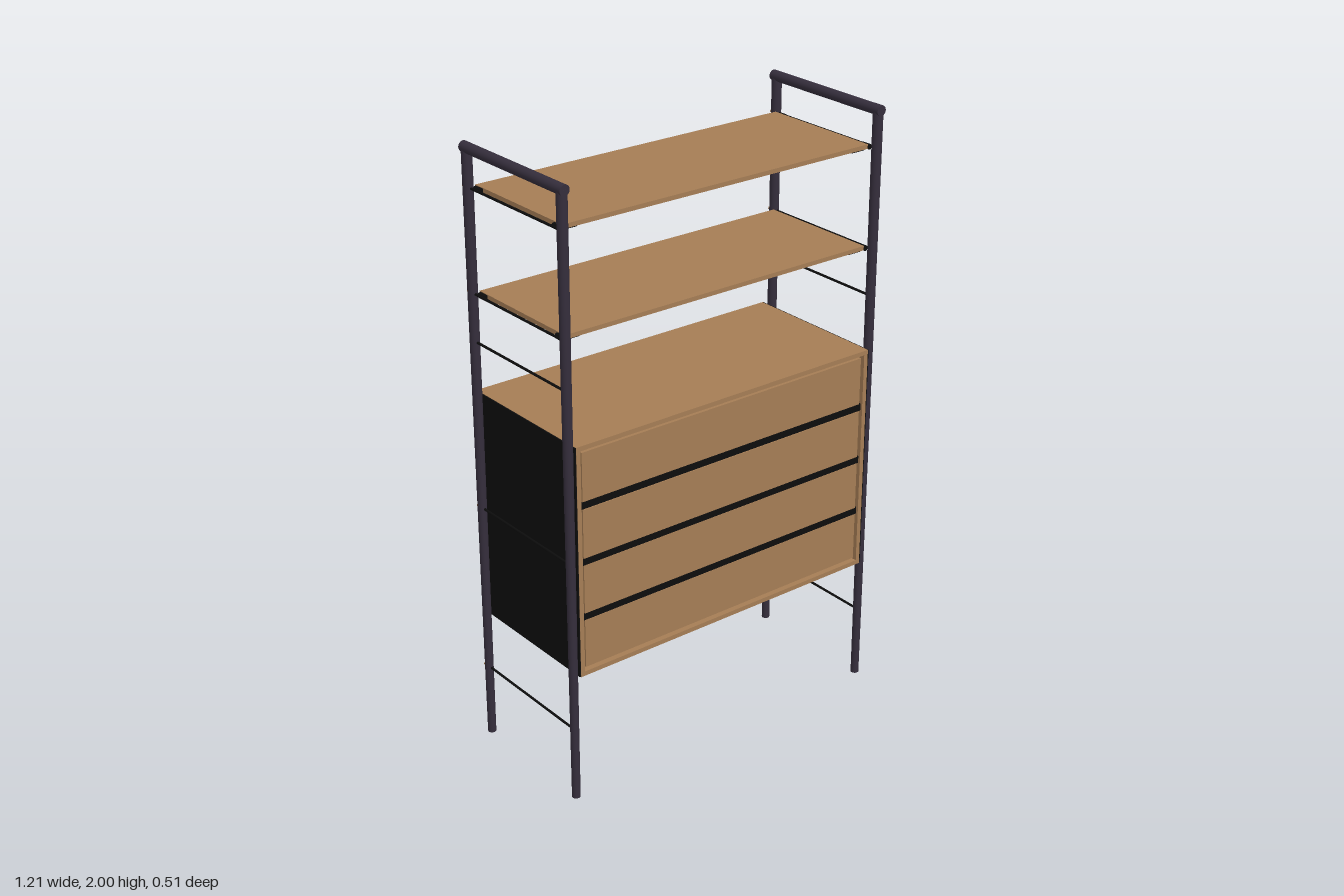
import * as THREE from 'three';

const mat = (name, color) => {
  const m = new THREE.MeshStandardMaterial({ color });
  m.name = name;
  return m;
};

export function createModel() {
  const wood = mat('wood', 0xa57d55);
  const steel = mat('dark steel', 0x352e3c);
  const black = mat('black', 0x0d0d0d);
  const brass = mat('brass', 0x8a6238);
  const model = new THREE.Group();
  model.name = 'shelvingUnit';

  const add = (name, geometry, material, x, y, z, parent = model) => {
    const mesh = new THREE.Mesh(geometry, material);
    mesh.name = name;
    mesh.position.set(x, y, z);
    parent.add(mesh);
    return mesh;
  };
  // Box given by its lower and upper corners
  const box = (name, material, x0, x1, y0, y1, z0, z1, parent) =>
    add(name, new THREE.BoxGeometry(x1 - x0, y1 - y0, z1 - z0), material,
      (x0 + x1) / 2, (y0 + y1) / 2, (z0 + z1) / 2, parent);
  // Round bar running front to back
  const bar = (name, material, r, x, y, z0, z1, parent, sides = 10) => {
    const g = new THREE.CylinderGeometry(r, r, z1 - z0, sides).rotateX(Math.PI / 2);
    return add(name, g, material, x, y, (z0 + z1) / 2, parent);
  };

  // Two end frames: posts, top rail and thin cross rods
  const front = 0.237, back = -0.23;
  for (const s of [-1, 1]) {
    const frame = new THREE.Group();
    frame.name = s > 0 ? 'leftFrame' : 'rightFrame';
    model.add(frame);
    const x = s * 0.587;
    for (const z of [front, back]) {
      add(z > 0 ? 'frontPost' : 'backPost',
        new THREE.CylinderGeometry(0.0165, 0.0135, 1.985, 20), steel, x, 0.9925, z, frame);
    }
    bar('topRail', steel, 0.017, x, 1.983, -0.246, 0.252, frame, 20);
    for (const y of [0.245, 0.82, 1.38, 1.535, 1.863]) {
      bar('crossRod', black, 0.004, x, y, back, front, frame);
      bar('rodPin', brass, 0.0045, x, y, -0.254, back, frame);
    }
  }

  // Open shelves with their end clips
  for (const y of [1.536, 1.865]) {
    box('shelf', wood, -0.572, 0.572, y - 0.007, y + 0.007, -0.215, 0.215);
    for (const s of [-1, 1]) for (const z of [-0.19, 0.2]) {
      bar('shelfClip', black, 0.009, s * 0.578, y - 0.002, z - 0.016, z + 0.016);
      add('shelfBracket', new THREE.BoxGeometry(0.05, 0.006, 0.024), black,
        s * 0.54, y - 0.01, z * 0.97);
    }
  }

  // Cabinet carcass
  const cabinet = new THREE.Group();
  cabinet.name = 'cabinet';
  model.add(cabinet);
  const y0 = 0.435, y1 = 1.205, zb = -0.259, zf = 0.254, t = 0.015;
  box('cabinetTop', wood, -0.57, 0.57, y1 - t, y1, zb, zf, cabinet);
  box('cabinetBottom', wood, -0.57, 0.57, y0, y0 + t, zb, zf, cabinet);
  box('cabinetBack', wood, -0.57, 0.57, y0 + t, y1 - t, zb, zb + t, cabinet);
  for (const s of [-1, 1]) {
    add('cabinetSide', new THREE.BoxGeometry(t, y1 - y0 - 2 * t, zf - zb - t), wood,
      s * 0.5625, (y0 + y1) / 2, (zf + zb + t) / 2, cabinet);
    add('sidePanel', new THREE.BoxGeometry(0.004, y1 - y0 - 0.002, zf - zb - 0.002), black,
      s * 0.572, (y0 + y1) / 2, (zf + zb) / 2, cabinet);
  }
  box('cabinetInterior', black, -0.555, 0.555, y0 + t, y1 - t, 0.225, 0.23, cabinet);

  // Drawer fronts separated by dark finger gaps
  const drawers = [[0.46, 0.622], [0.646, 0.808], [0.832, 0.994], [1.02, 1.18]];
  for (const [a, b] of drawers) {
    box('drawerFront', wood, -0.547, 0.547, a, b, 0.23, 0.248, cabinet);
  }
  for (const y of [0.634, 0.82, 1.007]) {
    box('drawerGap', black, -0.555, 0.555, y - 0.012, y + 0.012, 0.23, 0.246, cabinet);
  }

  return model;
}
